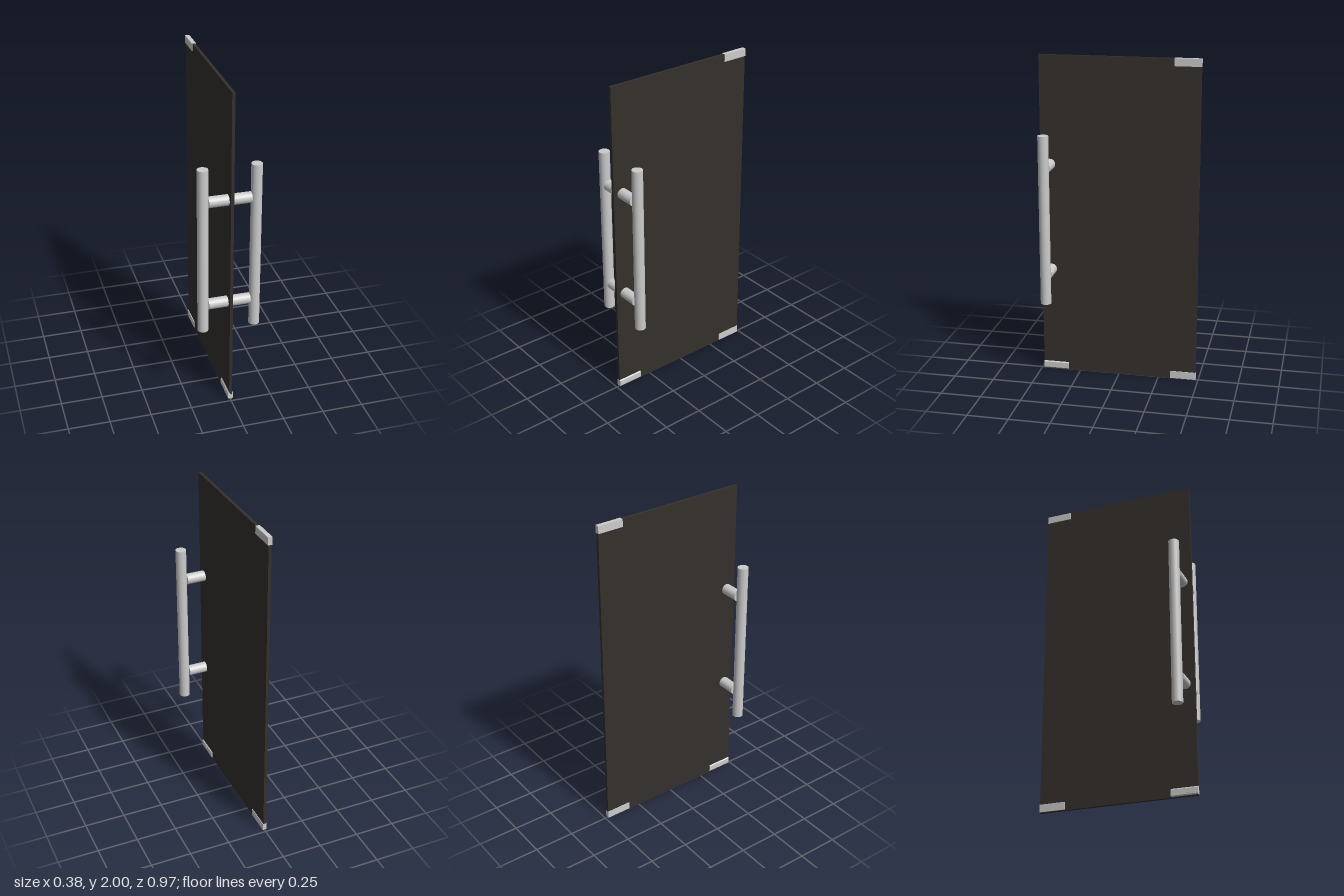
import * as THREE from 'three';

const metal = new THREE.MeshStandardMaterial({ color: 0xcccccc });
const dark = new THREE.MeshStandardMaterial({ color: 0x34302c });

export function createModel() {
  const door = new THREE.Group();
  door.name = 'door';

  const add = (name, geometry, x, y, z, material = metal) => {
    const mesh = new THREE.Mesh(geometry, material);
    mesh.name = name;
    mesh.position.set(x, y, z);
    door.add(mesh);
    return mesh;
  };

  // Door leaf
  add('doorPanel', new THREE.BoxGeometry(0.018, 1.998, 0.968), 0, 1, 0, dark);

  // Hinge-side corner patches
  const patch = new THREE.BoxGeometry(0.026, 0.046, 0.16);
  add('topHingePatch', patch, 0, 1.977, -0.405);
  add('bottomHingePatch', patch, 0, 0.028, -0.405);

  // Lock patch with chamfered edges, run along z
  const w = 0.0155, c = 0.006, y0 = 0.005, y1 = 0.052;
  const profile = new THREE.Shape([
    [-w + c, y0], [w - c, y0], [w, y0 + c], [w, y1 - c],
    [w - c, y1], [-w + c, y1], [-w, y1 - c], [-w, y0 + c],
  ].map(([x, y]) => new THREE.Vector2(x, y)));
  add('lockPatch', new THREE.ExtrudeGeometry(profile, { depth: 0.16, bevelEnabled: false }), 0, 0, 0.324);

  // Lock cylinder through the lock patch
  add('lockCylinder', new THREE.CylinderGeometry(0.011, 0.011, 0.034, 24), 0, 0.028, 0.42).rotation.z = Math.PI / 2;

  // Pull handle on each face, joined by two standoffs per side
  const bar = new THREE.CylinderGeometry(0.0325, 0.0325, 1.045, 32);
  const standoff = new THREE.CylinderGeometry(0.033, 0.033, 0.118, 32);
  for (const side of [-1, 1]) {
    const name = side > 0 ? 'left' : 'right';
    add(name + 'HandleBar', bar, side * 0.157, 1.022, 0.425);
    for (const y of [0.673, 1.339]) {
      add(name + 'HandleStandoff', standoff, side * 0.067, y, 0.425).rotation.z = Math.PI / 2;
    }
  }
  return door;
}
